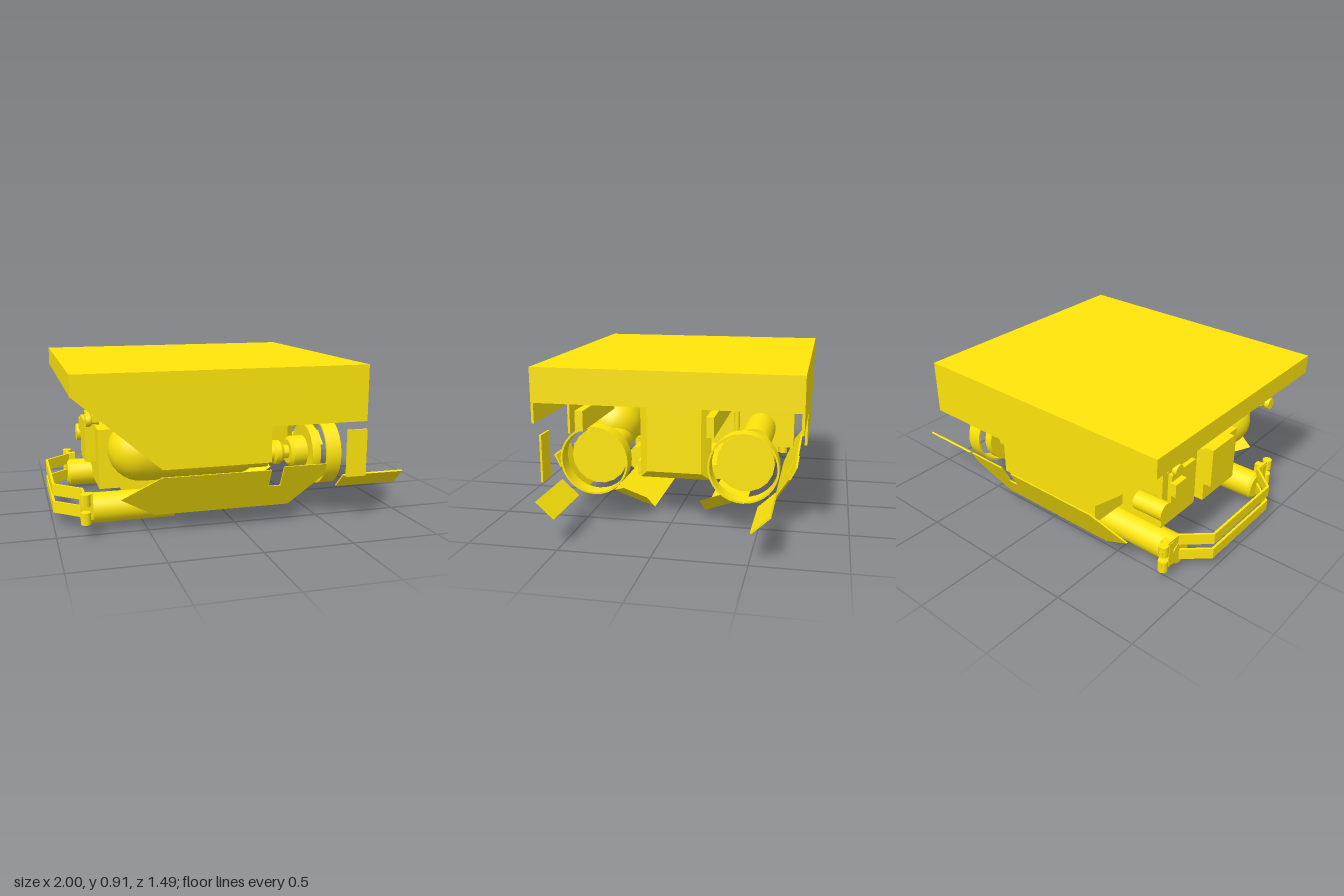
import * as THREE from 'three';
import { toCreasedNormals } from 'three/addons/utils/BufferGeometryUtils.js';

const mat = new THREE.MeshStandardMaterial({ color: 0xffe60a, side: THREE.DoubleSide });

export function createModel() {
  const root = new THREE.Group();
  const add = (name, geo) => {
    const m = new THREE.Mesh(geo, mat);
    m.name = name;
    root.add(m);
    return m;
  };
  // Box given by its limits on each axis
  const box = (name, x0, x1, y0, y1, z0, z1) => {
    const m = add(name, new THREE.BoxGeometry(x1 - x0, y1 - y0, z1 - z0));
    m.position.set((x0 + x1) / 2, (y0 + y1) / 2, (z0 + z1) / 2);
    return m;
  };
  // Solid of revolution around the x axis, profile as [x, radius]
  const turned = (name, profile, y, z, sides = 24) => {
    const g = new THREE.LatheGeometry(profile.map(([x, r]) => new THREE.Vector2(r, x)), sides);
    g.rotateZ(-Math.PI / 2);
    const m = add(name, toCreasedNormals(g, 0.6));
    m.position.set(0, y, z);
    return m;
  };
  const rod = (name, x0, x1, r, y, z, sides = 24) =>
    turned(name, [[x0, 0], [x0, r], [x1, r], [x1, 0]], y, z, sides);
  // Outline in x and y, extruded along z and centred on z = 0
  const plate = (pts, depth) => {
    const s = new THREE.Shape(pts.map(([x, y]) => new THREE.Vector2(x, y)));
    return new THREE.ExtrudeGeometry(s, { depth, bevelEnabled: false }).translate(0, 0, -depth / 2);
  };
  // Lean a plate outward as it rises
  const lean = (g, s, y0, z0, slope) => {
    const p = g.attributes.position;
    for (let i = 0; i < p.count; i++) p.setZ(i, p.getZ(i) + s * (z0 + (p.getY(i) - y0) * slope));
    g.computeVertexNormals();
    return g;
  };

  // Top slab, its two skirts and the beam below it
  add('hood', plate([[-0.925, 0.91], [-0.925, 0.8], [-0.825, 0.712], [0.687, 0.712], [0.687, 0.91]], 1.486));
  for (const s of [1, -1]) {
    add('hoodSkirt', plate([[-0.925, 0.91], [-0.925, 0.8], [-0.465, 0.4], [0.13, 0.4], [0.13, 0.597],
      [0.687, 0.597], [0.687, 0.91]], 0.015)).position.z = s * 0.7355;
  }
  box('crossBeam', -0.4, -0.32, 0.65, 0.716, -0.725, 0.725);
  box('railRight', 0.1, 0.83, 0.6, 0.708, -0.297, -0.257);
  box('railLeft', 0.25, 0.82, 0.6, 0.708, 0.4, 0.443);

  // Radiator: a flat panel with sloping edges
  const rad = new THREE.BoxGeometry(0.05, 0.465, 0.41);
  const rp = rad.attributes.position;
  for (let i = 0; i < rp.count; i++) {
    if (rp.getX(i) < 0) continue;
    rp.setY(i, rp.getY(i) > 0 ? 0.207 : -0.185);
    rp.setZ(i, rp.getZ(i) * 0.76);
  }
  rad.computeVertexNormals();
  add('radiator', rad).position.set(0.465, 0.4825, -0.015);

  for (const s of [1, -1]) {
    const z = s * 0.42, y = 0.375;
    // Hub ring, closed disc and stepped drive shaft
    turned('hubRing', [[0.51, 0.185], [0.51, 0.196], [0.6, 0.196], [0.6, 0.185], [0.51, 0.185]], y, z, 32);
    rod('hubDisc', 0.44, 0.49, 0.162, y, z, 18);
    turned('driveShaft', [[0.05, 0], [0.05, 0.08], [0.21, 0.08], [0.21, 0.042], [0.23, 0.042], [0.23, 0.055],
      [0.25, 0.055], [0.26, 0.07], [0.29, 0.07], [0.31, 0.055], [0.31, 0.04], [0.345, 0.04], [0.345, 0.07],
      [0.36, 0.09], [0.44, 0.09], [0.44, 0]], y, z);

    // Leaning side armour with a notch in its top edge
    const armour = plate([[-0.67, 0.225], [-0.48, 0.11], [0.29, 0.11], [0.47, 0.29], [0.47, 0.36], [0.22, 0.36],
      [0.22, 0.24], [0.15, 0.24], [0.15, 0.345], [-0.46, 0.345]], 0.012);
    add('sideArmour', lean(armour, s, 0.11, 0.577, 0.49));

    // Folded belly plate: rows of x, outer z and y, inner z and y
    const rows = [[-0.37, 0.41, 0.09, 0.155, 0], [0.25, 0.41, 0.09, 0.155, 0], [0.46, 0.29, 0.178, 0.155, 0.13]];
    const v = [];
    for (let i = 0; i < 2; i++) {
      const [a, b] = [rows[i], rows[i + 1]];
      const q = [[a[0], a[2], s * a[1]], [b[0], b[2], s * b[1]], [b[0], b[4], s * b[3]], [a[0], a[4], s * a[3]]];
      const order = s > 0 ? [0, 2, 1, 0, 3, 2] : [0, 1, 2, 0, 2, 3];
      for (const k of order) v.push(...q[k]);
    }
    const belly = new THREE.BufferGeometry();
    belly.setAttribute('position', new THREE.Float32BufferAttribute(v, 3));
    belly.computeVertexNormals();
    add('bellyPlate', belly);

    // Tilted end flap
    const flap = box('endFlap', 0.62, 1, 0.211, 0.221, s * 0.557 - 0.066, s * 0.557 + 0.066);
    flap.rotation.x = -s * 0.75;

    // Exhaust drum and lamp
    turned('exhaustDrum', [[-0.86, 0], [-0.86, 0.07], [-0.845, 0.084], [-0.34, 0.084], [-0.34, 0]], 0.125, s * 0.405);
    const lz = s > 0 ? 0.53 : -0.41;
    turned('lamp', [[-0.83, 0], [-0.83, 0.034], [-0.805, 0.034], [-0.79, 0.02], [-0.76, 0.026], [-0.76, 0]], 0.64, lz, 12);
    box('lampBracket', -0.8, -0.76, 0.64, 0.672, lz - 0.06, lz + 0.06);

    // Round clamps holding the guard bars
    for (const y0 of [0.113, 0.213]) {
      const clamp = add('guardClamp', new THREE.CylinderGeometry(0.028, 0.028, 0.066, 16));
      clamp.position.set(-0.845, y0, s * 0.545);
    }
    box('guardBracket', -0.86, -0.8, 0.09, 0.235, s * 0.49 - 0.02, s * 0.49 + 0.02);
  }
  box('mudFlap', 0.6, 0.72, 0.27, 0.54, 0.676, 0.688);

  // Two guard bars bent around the end
  const path = [[-0.85, -0.57], [-0.85, -0.42], [-0.993, -0.29], [-0.993, 0.29], [-0.85, 0.42], [-0.85, 0.57]];
  for (const y of [0.113, 0.213]) {
    for (let i = 0; i < path.length - 1; i++) {
      const [[x0, z0], [x1, z1]] = [path[i], path[i + 1]];
      const b = add('guardBar', new THREE.BoxGeometry(0.014, 0.065, Math.hypot(x1 - x0, z1 - z0) + 0.004));
      b.position.set((x0 + x1) / 2, y, (z0 + z1) / 2);
      b.rotation.y = Math.atan2(x1 - x0, z1 - z0);
    }
  }

  // Tank with two domed ends
  const dome = Array.from({ length: 9 }, (_, i) => {
    const a = i / 8 * Math.PI / 2;
    return [-0.53 - 0.18 * Math.cos(a), 0.175 * Math.sin(a)];
  });
  const farDome = dome.map(([x, r]) => [-0.55 - x, r]).reverse();
  turned('tank', [...dome, ...farDome], 0.46, 0.48, 28);

  // Machinery between the skirts
  box('bulkhead', -0.45, -0.36, 0.25, 0.715, -0.64, -0.2);
  rod('shaftHousing', -0.36, 0.08, 0.1, 0.375, -0.42);
  box('chassis', -0.6, 0.1, 0.15, 0.24, -0.3, 0.3);
  box('engineBlock', -0.72, -0.42, 0.21, 0.6, -0.4, -0.08);
  box('engineCap', -0.745, -0.72, 0.27, 0.54, -0.35, -0.13);
  box('engineBox', -0.78, -0.74, 0.42, 0.5, -0.36, -0.26);
  rod('engineBoss', -0.79, -0.6, 0.055, 0.38, -0.45, 16);
  box('gearBox', -0.74, -0.45, 0.2, 0.54, -0.02, 0.31);
  box('gearBoxCover', -0.8, -0.74, 0.33, 0.57, -0.04, 0.18);
  for (const z of [0.255, -0.315]) {
    const post = add('post', new THREE.CylinderGeometry(0.016, 0.016, 0.5, 12));
    post.position.set(0.05, 0.47, z);
  }

  // Pipe hanging under the hood
  const pipe = new THREE.CurvePath();
  const bends = [[0.3, 0.715], [0.3, 0.65], [-0.26, 0.65], [-0.26, 0.715]].map(([x, y]) => new THREE.Vector3(x, y, -0.42));
  for (let i = 0; i < 3; i++) pipe.add(new THREE.LineCurve3(bends[i], bends[i + 1]));
  add('pipe', new THREE.TubeGeometry(pipe, 60, 0.014, 8));
  return root;
}
